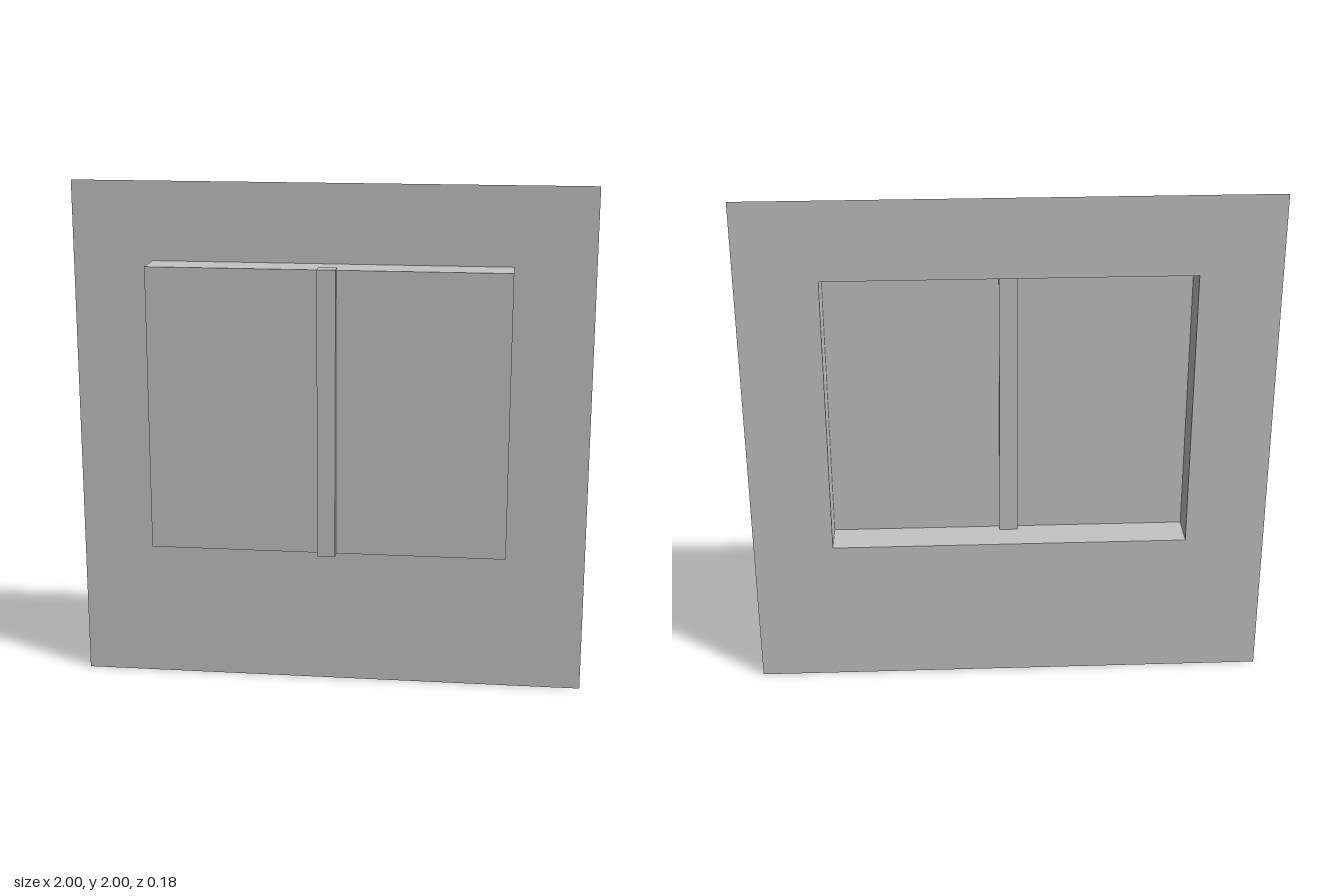
import * as THREE from 'three';

const HALF_W = 0.692;              // half width of the opening
const BOTTOM = 0.584, TOP = 1.694; // opening height range
const WALL_Z = -0.088, PANE_Z = 0.056;

export function createModel() {
  const model = new THREE.Group();
  const grey = new THREE.MeshStandardMaterial({ color: 0xc4c4c4, side: THREE.DoubleSide });
  grey.name = 'light grey';

  const add = (name, geometry, x, y, z, rotX = 0, rotY = 0) => {
    const mesh = new THREE.Mesh(geometry, grey);
    mesh.name = name;
    mesh.position.set(x, y, z);
    mesh.rotation.set(rotX, rotY, 0);
    model.add(mesh);
  };

  const height = TOP - BOTTOM, midY = (TOP + BOTTOM) / 2;
  const depth = PANE_Z - WALL_Z, midZ = (PANE_Z + WALL_Z) / 2;

  // Thin wall sheet with a rectangular opening
  const wall = new THREE.Shape([[-1, 0], [1, 0], [1, 2], [-1, 2]].map(p => new THREE.Vector2(...p)));
  wall.holes.push(new THREE.Path([
    [-HALF_W, BOTTOM], [-HALF_W, TOP], [HALF_W, TOP], [HALF_W, BOTTOM],
  ].map(p => new THREE.Vector2(...p))));
  add('wall', new THREE.ShapeGeometry(wall), 0, 0, WALL_Z);

  // Pane pushed forward from the wall
  add('pane', new THREE.PlaneGeometry(2 * HALF_W, height), 0, midY, PANE_Z);

  // Four sides joining pane and wall, open at the back
  for (const s of [-1, 1]) {
    add(s > 0 ? 'leftReveal' : 'rightReveal', new THREE.PlaneGeometry(depth, height),
      s * HALF_W, midY, midZ, 0, s * Math.PI / 2);
    add(s > 0 ? 'topReveal' : 'bottomReveal', new THREE.PlaneGeometry(2 * HALF_W, depth),
      0, s > 0 ? TOP : BOTTOM, midZ, -s * Math.PI / 2);
  }

  // Central bar passing through the pane
  add('mullion', new THREE.BoxGeometry(0.07, 1.12, 0.06), 0, 1.14, 0.058);

  return model;
}
